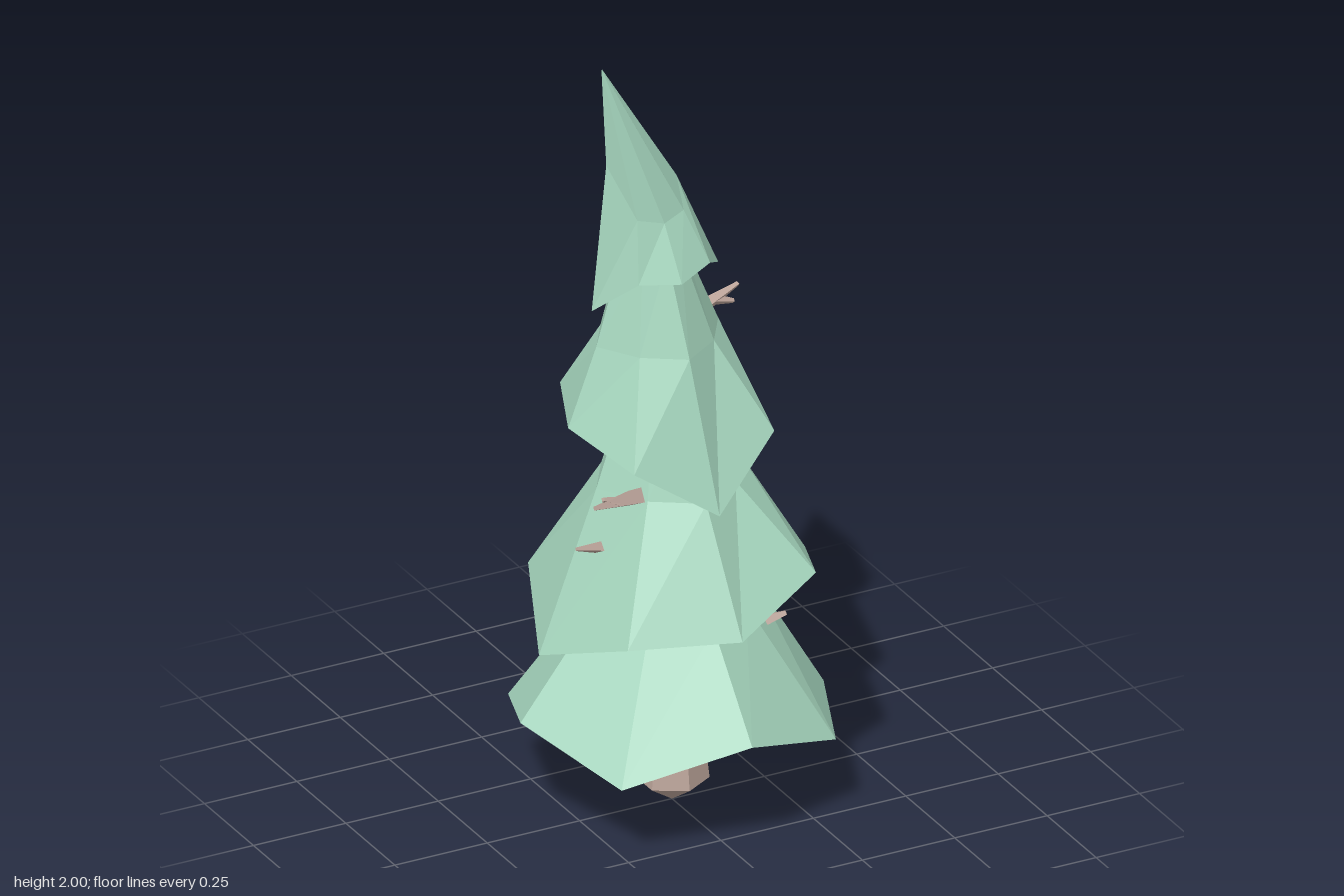
import * as THREE from 'three';

const SIDES = 8;
const needles = new THREE.MeshStandardMaterial({ color: 0xa5d5bd, flatShading: true });
const bark = new THREE.MeshStandardMaterial({ color: 0xbda59b, flatShading: true });

// Ring of points around the trunk, starting at +x and turning towards +z.
// heights is one number or one per corner; valley scales the diagonal corners.
function ring(cx, radius, heights, valley = 1) {
  return Array.from({ length: SIDES }, (_, i) => {
    const a = (i / SIDES) * Math.PI * 2;
    const r = radius * (i % 2 ? valley : 1);
    return [cx + Math.cos(a) * r, Array.isArray(heights) ? heights[i] : heights, Math.sin(a) * r];
  });
}

// Skirt joining rings from the top down to the hem and back up underneath
function skirt(name, rings) {
  const index = [];
  for (let i = 0; i < rings.length - 1; i++) {
    for (let j = 0; j < SIDES; j++) {
      const k = (j + 1) % SIDES;
      const a = i * SIDES + j, a1 = i * SIDES + k;
      const b = a + SIDES, b1 = a1 + SIDES;
      index.push(a, a1, b1, a, b1, b);
    }
  }
  const g = new THREE.BufferGeometry();
  g.setAttribute('position', new THREE.Float32BufferAttribute(rings.flat(2), 3));
  g.setIndex(index);
  g.computeVertexNormals();
  const mesh = new THREE.Mesh(g, needles);
  mesh.name = name;
  return mesh;
}

// Tapered stick between two points
function stick(from, to, r0, r1) {
  const a = new THREE.Vector3(...from), b = new THREE.Vector3(...to);
  const dir = b.clone().sub(a);
  const mesh = new THREE.Mesh(new THREE.CylinderGeometry(r1, r0, dir.length(), 4), bark);
  mesh.position.copy(a).add(b).multiplyScalar(0.5);
  mesh.quaternion.setFromUnitVectors(new THREE.Vector3(0, 1, 0), dir.normalize());
  return mesh;
}

// Bare twig with an optional side fork
function twig(name, from, to, radius, fork) {
  const g = new THREE.Group();
  g.name = name;
  g.add(stick(from, to, radius, radius * 0.25));
  if (fork) {
    const start = from.map((v, i) => v + (to[i] - v) * 0.5);
    g.add(stick(start, fork, radius * 0.6, radius * 0.25));
  }
  return g;
}

export function createModel() {
  const tree = new THREE.Group();
  tree.name = 'pineTree';

  // Tapered trunk with a pointed foot
  const profile = [[0, 0], [0.09, 0.06], [0.072, 0.22], [0.035, 0.36], [0, 0.36]];
  const trunk = new THREE.Mesh(
    new THREE.LatheGeometry(profile.map(([x, y]) => new THREE.Vector2(x, y)), 6), bark);
  trunk.name = 'trunk';
  tree.add(trunk);

  // Three drooping skirts with creases, uneven hems and hollow undersides
  tree.add(skirt('lowerBranches', [
    ring(0, 0.13, 0.73, 0.85),
    ring(0, 0.215, 0.55, 0.86),
    ring(0, 0.41, [0.22, 0.22, 0.32, 0.22, 0.3, 0.22, 0.22, 0.16]),
    ring(0, 0.025, 0.34),
  ]));
  tree.add(skirt('middleBranches', [
    ring(-0.02, 0.11, 1.1, 0.85),
    ring(-0.01, 0.195, 0.88, 0.86),
    ring(0, 0.36, [0.59, 0.66, 0.58, 0.57, 0.47, 0.58, 0.65, 0.59]),
    ring(0, 0.1, 0.71),
  ]));
  tree.add(skirt('upperBranches', [
    ring(-0.055, 0.08, 1.5, 0.9),
    ring(-0.04, 0.165, 1.26, 0.86),
    ring(-0.013, 0.268, [0.91, 1.03, 0.88, 1.0, 1.06, 1.08, 0.95, 1.03]),
    ring(-0.02, 0.08, 1.09),
  ]));

  // Leaning tip
  tree.add(skirt('treeTip', [
    ring(-0.19, 0.001, 2),
    [[0.012, 1.67, 0], [0.005, 1.6, 0.05], [-0.06, 1.59, 0.075], [-0.12, 1.6, 0.05],
      [-0.178, 1.74, 0], [-0.12, 1.6, -0.05], [-0.06, 1.59, -0.075], [0.005, 1.6, -0.05]],
    [[0.125, 1.41, 0], [0.05, 1.47, 0.1], [-0.05, 1.455, 0.145], [-0.13, 1.44, 0.075],
      [-0.228, 1.37, 0.02], [-0.15, 1.42, -0.1], [-0.05, 1.46, -0.145], [0.05, 1.47, -0.1]],
    ring(-0.055, 0.06, 1.49),
  ]));

  // Bare twigs
  tree.add(twig('upperLeftTwig', [0.06, 1.27, -0.025], [0.21, 1.305, -0.06], 0.024, [0.19, 1.27, -0.045]));
  tree.add(twig('upperRightTwig', [-0.14, 0.885, 0.09], [-0.28, 0.905, 0.135], 0.026, [-0.25, 0.915, 0.12]));
  tree.add(twig('middleRightTwig', [-0.19, 0.74, 0.04], [-0.29, 0.765, 0.06], 0.022));
  tree.add(twig('frontLeftTwig', [0.15, 0.465, 0.09], [0.24, 0.5, 0.13], 0.028));
  tree.add(twig('backTwig', [0.085, 0.44, -0.24], [0.08, 0.515, -0.41], 0.034, [0.13, 0.5, -0.365]));

  return tree;
}
